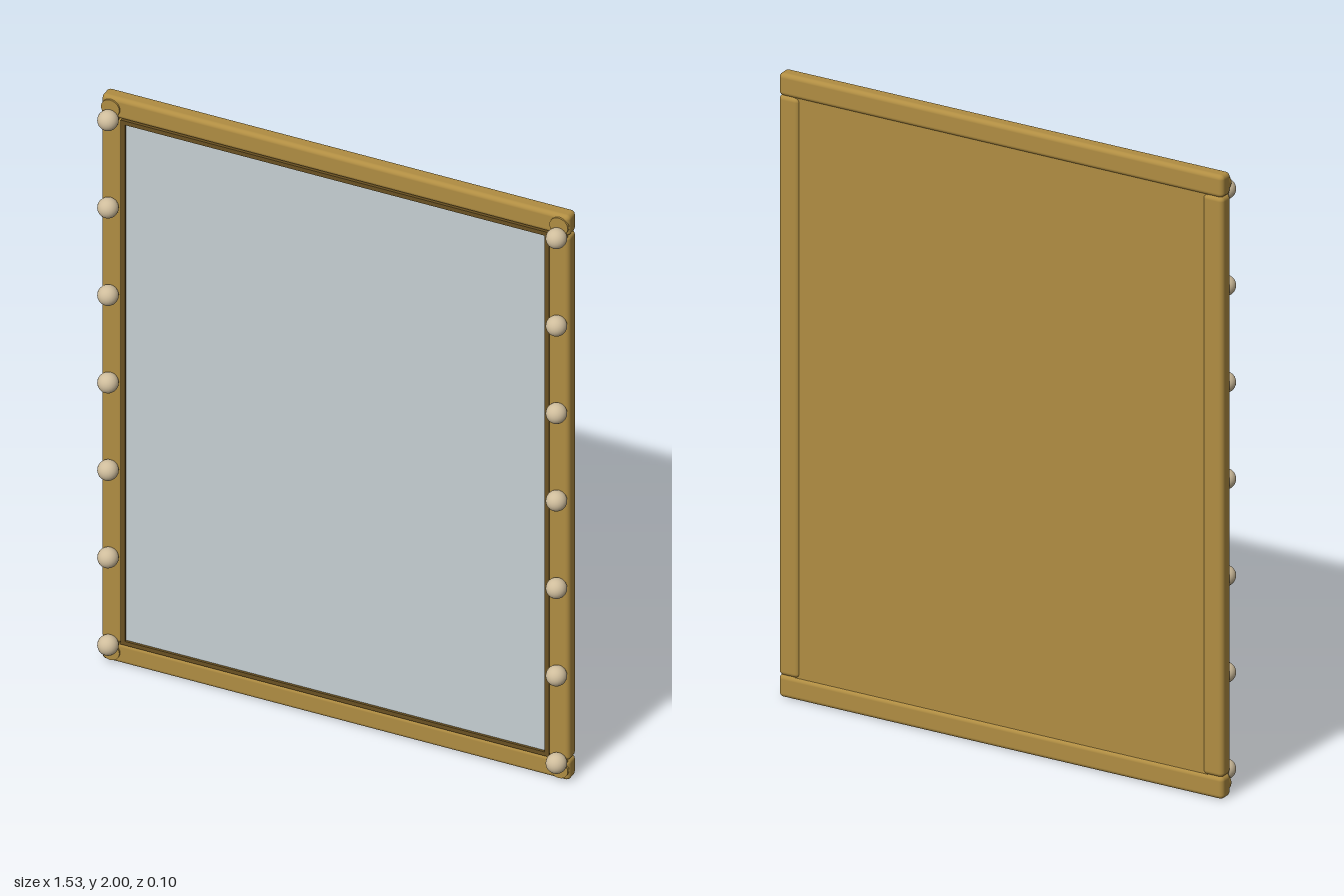
import * as THREE from 'three';
import { RoundedBoxGeometry } from 'three/addons/geometries/RoundedBoxGeometry.js';

const W = 1.53, H = 2, DEPTH = 0.05;

export function createModel() {
  const model = new THREE.Group();
  model.name = 'vanityMirror';

  const material = (name, color) => {
    const m = new THREE.MeshStandardMaterial({ color });
    m.name = name;
    return m;
  };
  const gold = material('antique gold', 0xb08d42);
  const darkGold = material('dark gold', 0x6a5122);
  const glass = material('mirror glass', 0xc6d0d3);
  const ivory = material('ivory bulb', 0xcfbd9c);

  const add = (name, geometry, mat, x, y, z) => {
    const mesh = new THREE.Mesh(geometry, mat);
    mesh.name = name;
    mesh.position.set(x, y, z);
    model.add(mesh);
    return mesh;
  };

  // Rounded rails and stiles, with a small notch where they meet
  const rail = new RoundedBoxGeometry(W, 0.072, DEPTH, 4, 0.014);
  const stile = new RoundedBoxGeometry(0.07, H - 0.14, DEPTH, 4, 0.014);
  add('topRail', rail, gold, 0, H - 0.036, -DEPTH / 2);
  add('bottomRail', rail, gold, 0, 0.036, -DEPTH / 2);
  add('leftStile', stile, gold, W / 2 - 0.035, H / 2, -DEPTH / 2);
  add('rightStile', stile, gold, -W / 2 + 0.035, H / 2, -DEPTH / 2);

  // Backing board and glass
  add('backPanel', new THREE.BoxGeometry(1.42, 1.88, 0.03), gold, 0, H / 2, -0.028);
  add('mirrorGlass', new THREE.BoxGeometry(1.39, 1.85, 0.008), glass, 0, H / 2, -0.01);

  // Thin dark trim around the glass
  const trimX = new THREE.BoxGeometry(1.40, 0.014, 0.016);
  const trimY = new THREE.BoxGeometry(0.014, 1.85, 0.016);
  for (const s of [-1, 1]) {
    add(s > 0 ? 'topTrim' : 'bottomTrim', trimX, darkGold, 0, H / 2 + s * 0.922, -0.006);
    add(s > 0 ? 'leftTrim' : 'rightTrim', trimY, darkGold, s * 0.693, H / 2, -0.006);
  }

  // Corner discs, sockets and bulbs, mirrored on both sides
  const disc = new THREE.CylinderGeometry(0.03, 0.03, 0.01, 24).rotateX(Math.PI / 2);
  const socket = new THREE.CylinderGeometry(0.022, 0.026, 0.012, 20).rotateX(Math.PI / 2);
  const bulb = new THREE.SphereGeometry(0.032, 24, 16);
  for (const s of [-1, 1]) {
    const side = s > 0 ? 'left' : 'right';
    const x = s * 0.733;
    for (const y of [0.038, H - 0.038]) add(side + 'CornerDisc', disc, gold, x, y, 0);
    for (let i = 0; i < 7; i++) {
      const y = 0.07 + i * 0.31;
      add(side + 'Socket', socket, gold, x, y, 0);
      add(side + 'Bulb', bulb, ivory, x, y, 0.02);
    }
  }
  return model;
}
